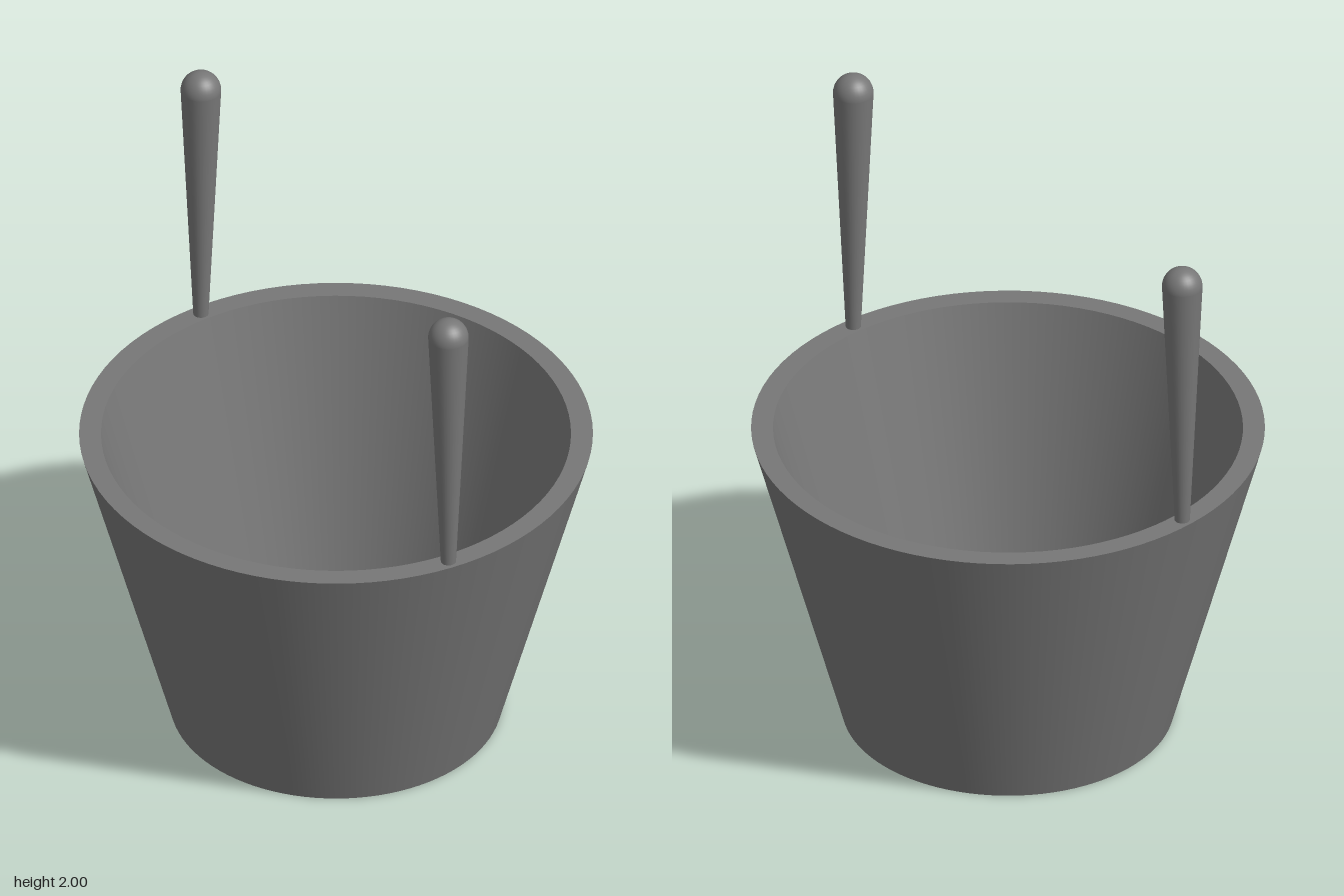
import * as THREE from 'three';
import { toCreasedNormals } from 'three/addons/utils/BufferGeometryUtils.js';

// Revolve a [radius, height] profile, keeping its hard edges sharp
function lathe(points, segments) {
  const profile = points.map(([r, y]) => new THREE.Vector2(r, y));
  return toCreasedNormals(new THREE.LatheGeometry(profile, segments), 0.5);
}

export function createModel() {
  const model = new THREE.Group();
  model.name = 'bucketWithPosts';
  const grey = new THREE.MeshStandardMaterial({ color: 0x777777 });
  grey.name = 'grey';

  // Tapered tub with a flat rim, thick wall and raised inner floor
  const bucket = new THREE.Mesh(lathe([
    [0, 0], [0.53, 0], [0.82, 1.055], [0.75, 1.055], [0.495, 0.13], [0, 0.13],
  ], 96), grey);
  bucket.name = 'bucket';
  model.add(bucket);

  // Flared posts with ball tops, standing on the front and back rim
  const rodGeometry = new THREE.CylinderGeometry(0.065, 0.024, 0.89, 32);
  const knobGeometry = new THREE.SphereGeometry(0.065, 32, 20);
  for (const side of [1, -1]) {
    const post = new THREE.Group();
    post.name = side > 0 ? 'frontPost' : 'backPost';
    post.position.set(-0.042, 0, side * 0.782);

    const rod = new THREE.Mesh(rodGeometry, grey);
    rod.name = 'rod';
    rod.position.y = 1.49;

    const knob = new THREE.Mesh(knobGeometry, grey);
    knob.name = 'knob';
    knob.position.y = 1.935;

    post.add(rod, knob);
    model.add(post);
  }
  return model;
}
